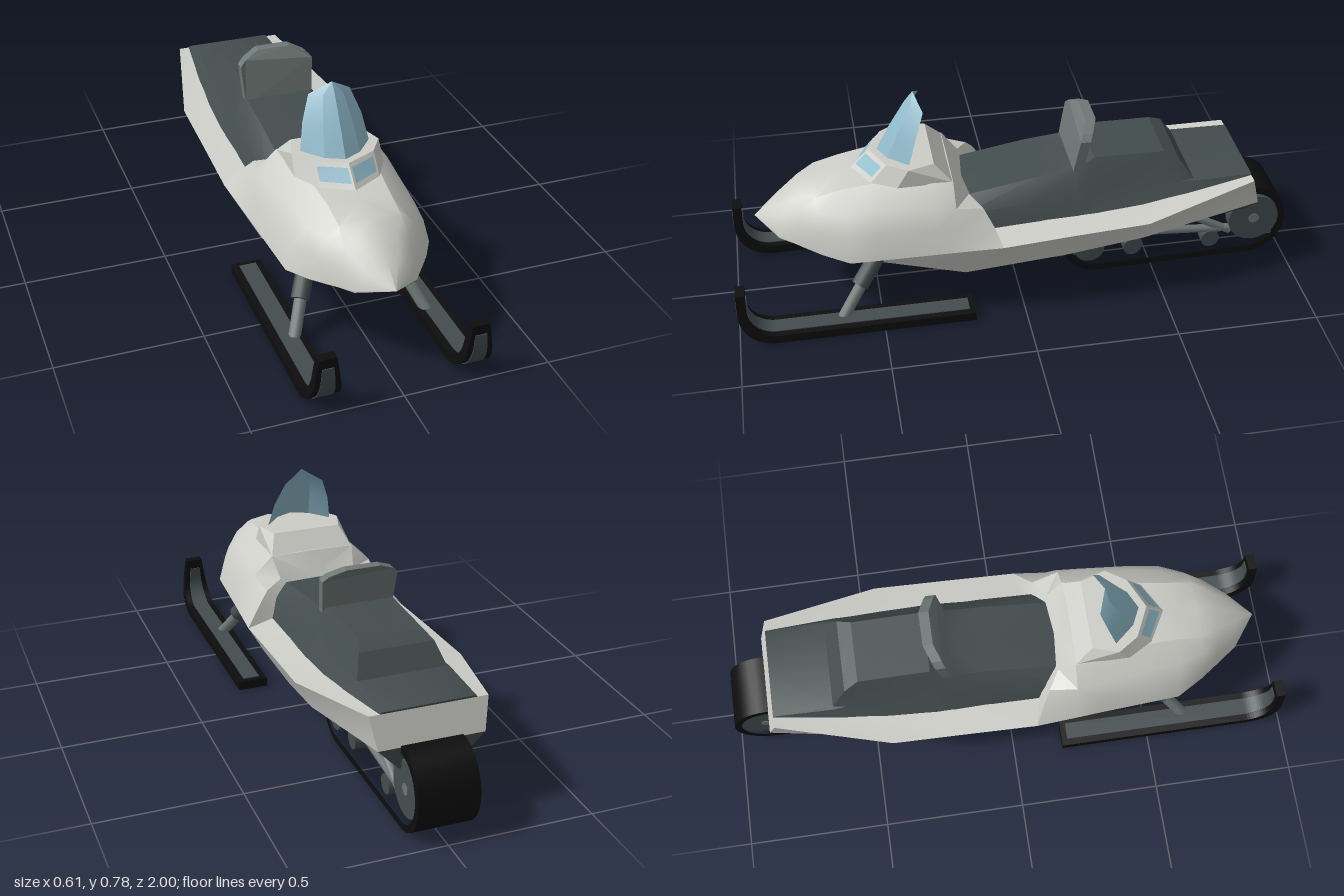
import * as THREE from 'three';
import { toCreasedNormals } from 'three/addons/utils/BufferGeometryUtils.js';

const mat = (name, color, side = THREE.FrontSide) => {
  const m = new THREE.MeshStandardMaterial({ color, side });
  m.name = name;
  return m;
};

export function createModel() {
  const body = mat('light grey body', 0xcdcdc8);
  const dark = mat('dark grey', 0x434c4d);
  const black = mat('black rubber', 0x0d0d0d);
  const metal = mat('mid grey metal', 0x6d7775);
  const glass = mat('blue glass', 0x8fbacb, THREE.DoubleSide);
  const group = new THREE.Group();

  const add = (name, geo, material) => {
    const m = new THREE.Mesh(geo, material);
    m.name = name;
    group.add(m);
    return m;
  };

  // Skin between rows of [x, y, z] points on the +x half, mirrored to -x
  const loft = (name, rows, material, crease = 0.5) => {
    const pos = [];
    const v = p => new THREE.Vector3(...p);
    const tri = (a, b, c) => {
      if (v(b).sub(v(a)).cross(v(c).sub(v(a))).length() < 1e-7) return;
      pos.push(...a, ...b, ...c);
      for (const p of [a, c, b]) pos.push(-p[0], p[1], p[2]);
    };
    for (let i = 0; i < rows.length - 1; i++)
      for (let j = 0; j < rows[i].length - 1; j++) {
        const a = rows[i][j], b = rows[i][j + 1], c = rows[i + 1][j + 1], d = rows[i + 1][j];
        tri(a, b, d);
        tri(b, c, d);
      }
    const g = new THREE.BufferGeometry();
    g.setAttribute('position', new THREE.Float32BufferAttribute(pos, 3));
    return add(name, toCreasedNormals(g, crease), material);
  };
  const at = (z, pts) => pts.map(([x, y]) => [x, y, z]);
  const point = (n, x, y, z) => Array.from({ length: n }, () => [x, y, z]);

  // Side profile (drawn in z, y) extruded across x and centred
  const across = (shape, width, x = 0) => new THREE.ExtrudeGeometry(shape,
    { depth: width, bevelEnabled: false, curveSegments: 8 })
    .rotateY(-Math.PI / 2).translate(x + width / 2, 0, 0);

  const rod = (name, a, b, r, material, sides = 12) => {
    const A = new THREE.Vector3(...a), B = new THREE.Vector3(...b);
    const m = add(name, new THREE.CylinderGeometry(r, r, A.distanceTo(B), sides), material);
    m.position.copy(A).add(B).multiplyScalar(0.5);
    m.quaternion.setFromUnitVectors(new THREE.Vector3(0, 1, 0), B.sub(A).normalize());
  };

  // Hood: nose to cockpit, closed at the rear
  loft('hood', [
    point(5, 0, 0.333, 0.91),
    at(0.83, [[0, 0.395], [0.04, 0.388], [0.07, 0.365], [0.092, 0.335], [0.105, 0.305]]),
    at(0.75, [[0, 0.453], [0.07, 0.44], [0.11, 0.41], [0.147, 0.36], [0.16, 0.29]]),
    at(0.69, [[0, 0.468], [0.105, 0.457], [0.15, 0.42], [0.185, 0.36], [0.2, 0.28]]),
    at(0.6, [[0, 0.487], [0.107, 0.48], [0.18, 0.42], [0.225, 0.36], [0.25, 0.27]]),
    at(0.5, [[0, 0.5], [0.115, 0.495], [0.19, 0.435], [0.235, 0.37], [0.258, 0.275]]),
    at(0.3, [[0, 0.5], [0.155, 0.5], [0.22, 0.435], [0.25, 0.375], [0.275, 0.287]]),
    at(0.23, [[0, 0.5], [0.155, 0.497], [0.223, 0.432], [0.256, 0.372], [0.282, 0.292]]),
    [[0, 0.42, 0.185], [0.14, 0.43, 0.175], [0.205, 0.41, 0.135], [0.25, 0.36, 0.105], [0.295, 0.3, 0.08]],
    point(5, 0, 0.3, 0.13),
  ], body, 0.6);

  // Hull lines from nose to tail: rail, chine and floor edge
  const rail = [[0, 0.333, 0.91], [0.105, 0.305, 0.83], [0.25, 0.27, 0.6], [0.295, 0.3, 0.08],
    [0.295, 0.318, -0.16], [0.295, 0.335, -0.43], [0.2, 0.4, -0.83]];
  const chine = [[0, 0.333, 0.91], [0.105, 0.3, 0.83], [0.13, 0.2, 0.6], [0.2, 0.135, 0.2],
    [0.225, 0.185, -0.16], [0.24, 0.235, -0.43], [0.18, 0.29, -0.86]];
  const floor = [[0, 0.333, 0.91], [0.105, 0.298, 0.83], [0.105, 0.188, 0.6], [0.105, 0.08, 0.2],
    [0.105, 0.105, -0.16], [0.105, 0.145, -0.43], [0.105, 0.21, -0.85]];
  loft('hullSides', rail.map((p, i) => [p, chine[i]]), body);
  loft('hullBottom', chine.map((p, i) => [p, floor[i], [0, floor[i][1], floor[i][2]]]), dark);
  loft('tailPanel', [[[0, 0.4, -0.83], rail[6]], [[0, 0.29, -0.86], chine[6]]], body);
  loft('tailLower', [[[0, 0.29, -0.86], chine[6]], [[0, 0.21, -0.85], floor[6]]], dark);
  loft('runningBoards', [
    [[0.19, 0.315, 0.12], rail[3]],
    [[0.195, 0.332, -0.16], rail[4]],
    [[0.195, 0.348, -0.43], rail[5]],
    [[0.16, 0.4, -0.83], rail[6]],
  ], body);

  // Seat with raised rear cushion: [z, topY, topHalf, midHalf, midY, baseHalf, baseY]
  const seat = [
    [0.2, 0.41, 0.12, 0.175, 0.37, 0.2, 0.3],
    [-0.06, 0.455, 0.12, 0.175, 0.39, 0.205, 0.31],
    [-0.2, 0.47, 0.12, 0.17, 0.4, 0.207, 0.325],
    [-0.27, 0.507, 0.11, 0.16, 0.41, 0.208, 0.33],
    [-0.52, 0.505, 0.11, 0.155, 0.41, 0.2, 0.345],
    [-0.57, 0.48, 0.13, 0.16, 0.405, 0.195, 0.355],
    [-0.62, 0.408, 0.155, 0.165, 0.404, 0.19, 0.362],
    [-0.83, 0.406, 0.155, 0.16, 0.404, 0.168, 0.39],
  ].map(([z, y, w, mw, my, bw, by]) => at(z, [[0, y], [w, y], [mw, my], [bw, by]]));
  loft('seat', [...seat, point(4, 0, 0.39, -0.83)], dark, 0.4);

  // Backrest: curved, chamfered pad leaning back
  const rest = new THREE.Shape([[-0.125, 0.45], [0.125, 0.45], [0.135, 0.59], [0.115, 0.61],
    [0.06, 0.635], [-0.06, 0.635], [-0.115, 0.61], [-0.135, 0.59]].map(p => new THREE.Vector2(...p)));
  const restGeo = new THREE.ExtrudeGeometry(rest, { depth: 0.035, bevelEnabled: false });
  const rp = restGeo.attributes.position;
  for (let i = 0; i < rp.count; i++) {
    const bend = Math.max(0, Math.abs(rp.getX(i)) - 0.06) * 0.3;
    rp.setZ(i, rp.getZ(i) - 0.245 + bend - (rp.getY(i) - 0.45) * 0.2);
  }
  restGeo.computeVertexNormals();
  add('backrest', restGeo, metal);

  // Headlight pod on the hood, ringed from rear centre to front centre
  const podTop = [[0, 0.56, 0.29], [0.125, 0.56, 0.29], [0.152, 0.56, 0.38], [0.106, 0.56, 0.45], [0, 0.56, 0.5]];
  const podLow = [[0, 0.495, 0.23], [0.153, 0.495, 0.23], [0.155, 0.495, 0.42], [0.107, 0.495, 0.505], [0, 0.495, 0.565]];
  loft('headlightPod', [point(5, 0, 0.56, 0.36), podTop, podLow], body, 0.2);

  // Headlight lenses laid on the pod front
  const lens = (u, v) => [0, 1, 2].map(k => {
    const top = podTop[4][k] + (podTop[3][k] - podTop[4][k]) * u;
    const low = podLow[4][k] + (podLow[3][k] - podLow[4][k]) * u;
    return low + (top - low) * v + (k === 2 ? 0.004 : 0);
  });
  loft('headlights', [[lens(0.92, 0.84), lens(0.07, 0.84)], [lens(0.92, 0.25), lens(0.07, 0.25)]], glass);

  // Windshield: faceted curved shell, open at the rear
  loft('windshield', [
    point(3, 0, 0.777, 0.34),
    [[0.072, 0.732, 0.315], [0.035, 0.737, 0.352], [0, 0.74, 0.37]],
    [[0.103, 0.65, 0.345], [0.052, 0.65, 0.4], [0, 0.65, 0.425]],
    [[0.121, 0.555, 0.375], [0.062, 0.555, 0.445], [0, 0.555, 0.475]],
  ], glass, 0.25);

  // Skis: black runners with a grey channel, narrowing at the upturned tip
  const skiProfile = (e, back, tip) => {
    const s = new THREE.Shape();
    s.moveTo(back, 0.13 - 0.13 + e);
    s.lineTo(0.87, e);
    s.absarc(0.87, 0.13, 0.13 - e, -Math.PI / 2, 0, false);
    s.lineTo(1 - e, tip);
    s.lineTo(0.962 + e, tip);
    s.lineTo(0.962 + e, 0.13);
    s.absarc(0.87, 0.13, 0.092 + e, 0, -Math.PI / 2, true);
    s.lineTo(back, 0.038 - e);
    return s;
  };
  const ski = (name, e, back, tip, width, material, x) => {
    const g = across(skiProfile(e, back, tip), width);
    const p = g.attributes.position;
    for (let i = 0; i < p.count; i++)
      p.setX(i, p.getX(i) * (1 - Math.max(0, p.getY(i) - 0.04) * 2.7) + x);
    g.computeVertexNormals();
    add(name, g, material);
  };
  for (const s of [1, -1]) {
    ski('ski', 0.003, 0.18, 0.205, 0.107, black, s * 0.253);
    ski('skiChannel', 0, 0.2, 0.17, 0.06, dark, s * 0.253);
    rod('skiStrut', [s * 0.235, 0.025, 0.64], [s * 0.17, 0.16, 0.54], 0.021, metal);
    rod('strutSleeve', [s * 0.192, 0.125, 0.573], [s * 0.135, 0.225, 0.49], 0.031, dark);
  }

  // Track belt
  const trackPath = (path, t) => {
    path.moveTo(-0.28, t);
    path.lineTo(-0.86, 0.008 + t);
    path.absellipse(-0.87, 0.152, 0.13 - t, 0.144 - t, -Math.PI / 2, -Math.PI * 1.5, true);
    path.lineTo(-0.3, 0.25 - t);
    path.quadraticCurveTo(-0.15 - t, 0.23 - t, -0.155 - t, 0.13);
    path.quadraticCurveTo(-0.19 - t, 0.02 + t, -0.28, t);
    return path;
  };
  const trackShape = trackPath(new THREE.Shape(), 0);
  trackShape.holes.push(trackPath(new THREE.Path(), 0.026));
  add('track', toCreasedNormals(across(trackShape, 0.208), 0.5), black);

  // Track wheels: [z, y, radius]
  for (const [z, y, r] of [[-0.27, 0.095, 0.055], [-0.43, 0.083, 0.034], [-0.725, 0.08, 0.034], [-0.885, 0.155, 0.095]])
    for (const s of [1, -1])
      rod('trackWheel', [s * 0.055, y, z], [s * 0.098, y, z], r, dark, 20);
  rod('rearAxle', [-0.1, 0.155, -0.885], [0.1, 0.155, -0.885], 0.02, metal);

  // Suspension arms
  for (const s of [1, -1]) {
    rod('suspensionRail', [s * 0.08, 0.15, -0.3], [s * 0.08, 0.11, -0.82], 0.015, metal, 8);
    rod('suspensionArm', [s * 0.08, 0.2, -0.62], [s * 0.08, 0.1, -0.8], 0.015, metal, 8);
  }
  return group;
}
